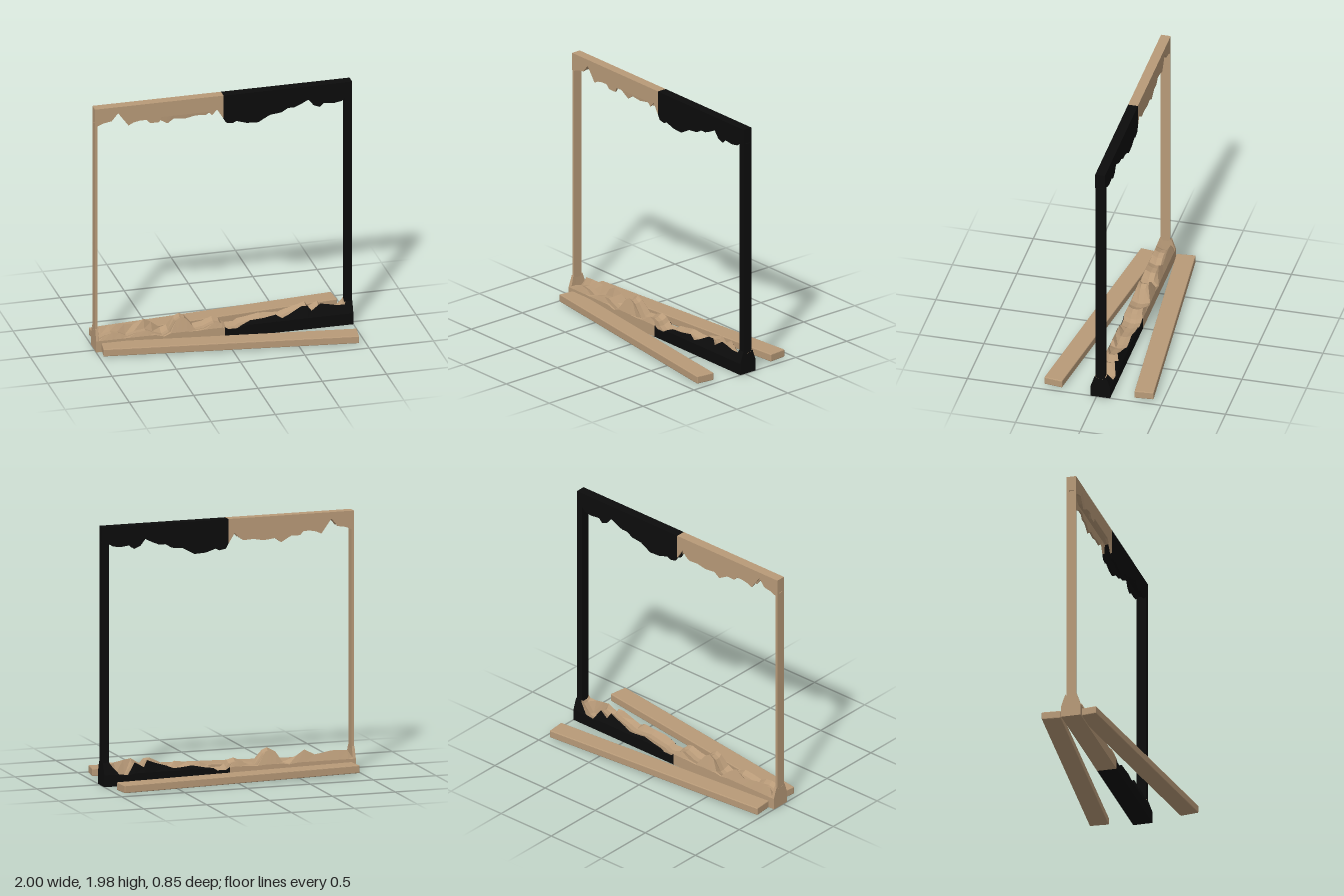
import * as THREE from 'three';
import { RoundedBoxGeometry } from 'three/addons/geometries/RoundedBoxGeometry.js';

const mat = (color) => new THREE.MeshStandardMaterial({ color, flatShading: true, side: THREE.DoubleSide });

// Loft of closed (z, y) cross-sections along x; only the listed edges are skinned.
function loft(stations, section, edges, caps) {
  const pos = [];
  const rings = stations.map((s) => section(s).map(([z, y]) => [s[0], y, z]));
  const n = rings[0].length;
  const tri = (a, b, c) => pos.push(...a, ...b, ...c);
  for (let i = 0; i < rings.length - 1; i++) {
    const A = rings[i], B = rings[i + 1];
    for (const j of edges) {
      const k = (j + 1) % n;
      tri(A[j], B[j], B[k]);
      tri(A[j], B[k], A[k]);
    }
  }
  if (caps) {
    const cap = (ring, flip) => {
      const flat = ring.map((p) => new THREE.Vector2(p[2], p[1]));
      for (const [a, b, c] of THREE.ShapeUtils.triangulateShape(flat, [])) {
        flip ? tri(ring[a], ring[c], ring[b]) : tri(ring[a], ring[b], ring[c]);
      }
    };
    cap(rings[0], false);
    cap(rings[rings.length - 1], true);
  }
  const g = new THREE.BufferGeometry();
  g.setAttribute('position', new THREE.Float32BufferAttribute(pos, 3));
  g.computeVertexNormals();
  return g;
}

// Stations: [x, front edge height, back edge height (same as front if absent)]
const beamLight = [
  [-1, 1.84], [-0.98, 1.84], [-0.93, 1.86], [-0.87, 1.87], [-0.82, 1.93], [-0.74, 1.82], [-0.7, 1.84],
  [-0.65, 1.85], [-0.6, 1.85], [-0.57, 1.82], [-0.5, 1.82], [-0.48, 1.86, 1.81], [-0.42, 1.86, 1.775],
  [-0.37, 1.86, 1.81], [-0.28, 1.86, 1.8], [-0.2, 1.86, 1.815], [-0.12, 1.86, 1.81], [-0.09, 1.83],
  [-0.05, 1.87], [0, 1.79],
];
const beamDark = [
  [0, 1.79], [0.02, 1.755], [0.07, 1.745], [0.1, 1.76], [0.18, 1.735], [0.27, 1.73], [0.36, 1.78],
  [0.45, 1.79], [0.5, 1.82], [0.55, 1.82], [0.6, 1.84], [0.66, 1.87], [0.7, 1.82], [0.75, 1.8],
  [0.78, 1.83], [0.86, 1.82], [0.92, 1.83], [0.95, 1.86], [1, 1.86],
];
const baseLight = [
  [-1, 0.18], [-0.98, 0.18], [-0.975, 0.1], [-0.94, 0.12, 0.155], [-0.87, 0.14, 0.16], [-0.81, 0.13, 0.16],
  [-0.75, 0.1, 0.15], [-0.68, 0.12, 0.14], [-0.6, 0.13, 0.18], [-0.54, 0.1, 0.145], [-0.47, 0.075, 0.085],
  [-0.42, 0.1], [-0.37, 0.18], [-0.33, 0.2], [-0.29, 0.18], [-0.22, 0.09], [-0.15, 0.1],
  [-0.07, 0.135], [-0.02, 0.12], [0, 0.09],
];
const baseDark = [
  [0, 0.09], [0.03, 0.07], [0.1, 0.07], [0.13, 0.09], [0.2, 0.12, 0.1], [0.3, 0.125, 0.12], [0.4, 0.14, 0.11],
  [0.45, 0.11], [0.5, 0.13], [0.6, 0.18, 0.16], [0.65, 0.18], [0.68, 0.14, 0.13], [0.75, 0.185, 0.17],
  [0.81, 0.175, 0.08], [0.88, 0.16, 0.09], [0.94, 0.16], [0.95, 0.18], [1, 0.18],
];

// Channel-shaped beam: flat top, two ragged skirts, shallow roof between them
function beamSection([, f, b = f]) {
  const roof = Math.max(f, b, 1.86) + 0.005;
  return [[-0.065, b], [-0.05, b], [-0.045, roof], [-0.01, roof], [-0.005, f], [0.01, f], [0.01, 1.98], [-0.065, 1.98]];
}

// Base: flat bottom, walls leaning inward to ragged ridges, valley between them
function baseSection([, f, b = f]) {
  const lo = (h) => Math.min(0.09, h - 0.005);
  const lean = (h) => 0.004 + 0.3 * (h - lo(h));
  const valley = Math.min(f, b) - 0.02;
  return [[-0.105, 0], [0.045, 0], [0.045, lo(f)], [0.045 - lean(f), f], [-0.01, valley], [-0.05, valley],
    [-0.105 + lean(b), b], [-0.105, lo(b)]];
}

export function createModel() {
  const group = new THREE.Group();
  const tan = mat(0xb89a78), black = mat(0x0c0c0c);
  const add = (name, geometry, material) => {
    const m = new THREE.Mesh(geometry, material);
    m.name = name;
    group.add(m);
    return m;
  };
  const all = [0, 1, 2, 3, 4, 5, 6, 7];
  const outer = [0, 1, 2, 6, 7], inner = [3, 4, 5];

  // Top beam in two halves
  add('lightBeam', loft(beamLight, beamSection, all, true), tan);
  add('darkBeam', loft(beamDark, beamSection, all, true), black);

  // Rocky base in two halves, the dark one with a light inside
  add('lightBase', loft(baseLight, baseSection, all, true), tan);
  add('darkBase', loft(baseDark, baseSection, outer, true), black);
  add('darkBaseLining', loft(baseDark, baseSection, inner, false), tan);

  // Posts
  const post = (name, x0, x1, material) => {
    const h = 1.76;
    add(name, new THREE.BoxGeometry(x1 - x0, h, 0.073), material).position.set((x0 + x1) / 2, 0.1 + h / 2, -0.0275);
  };
  post('lightPost', -0.999, -0.98, tan);
  post('darkPost', 0.95, 0.999, black);

  // Splayed floor skids
  for (const [name, z, turn] of [['frontSkid', 0.217, -0.136], ['backSkid', -0.275, 0.0855]]) {
    const skid = add(name, new RoundedBoxGeometry(1.935, 0.06, 0.146, 1, 0.006), tan);
    skid.position.set(-0.005, 0.04, z);
    skid.rotation.y = turn;
  }
  return group;
}
